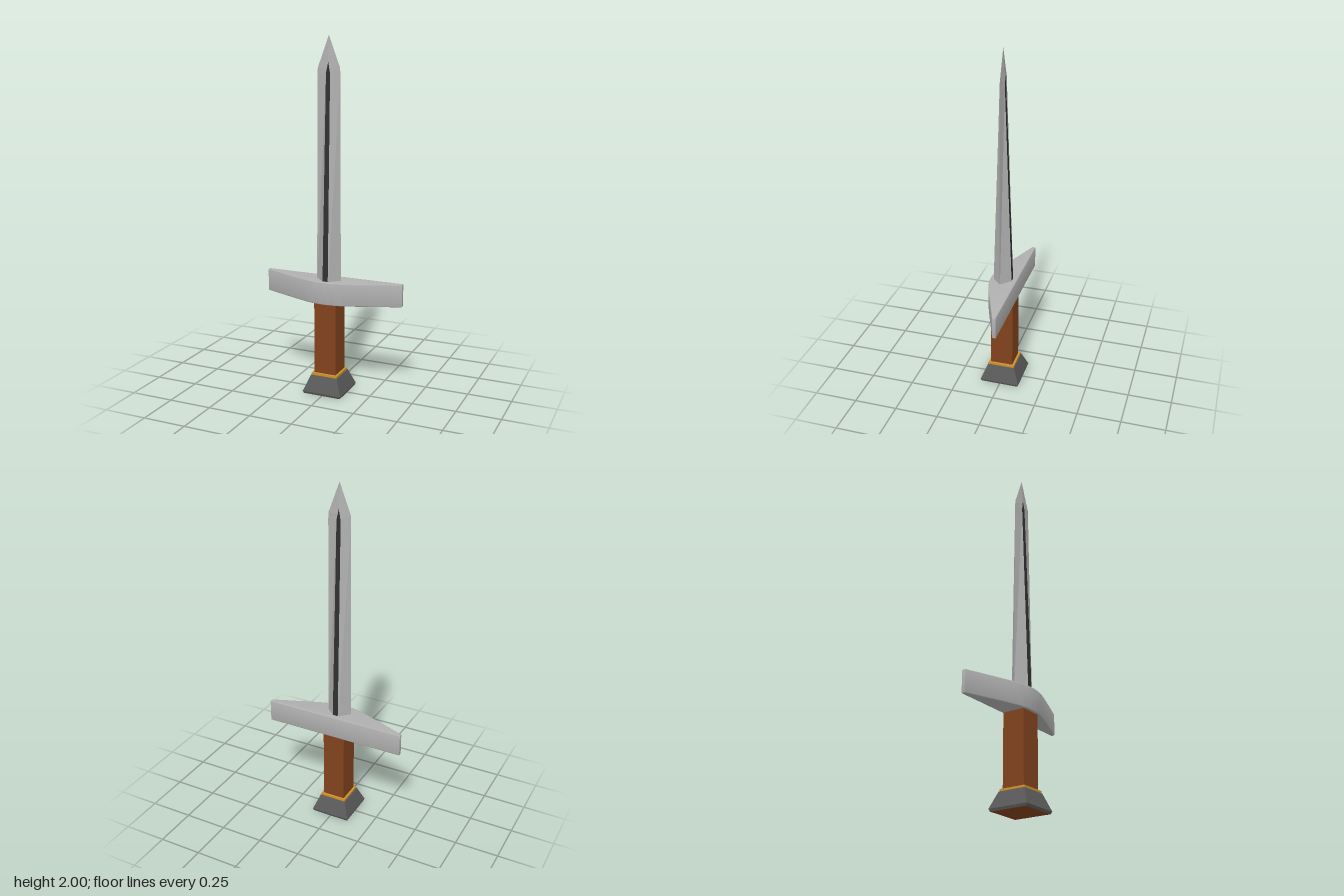
import * as THREE from 'three';
import { toCreasedNormals } from 'three/addons/utils/BufferGeometryUtils.js';

const material = (color, flatShading = true) => new THREE.MeshStandardMaterial({ color, flatShading });
const steel = material(0xb0b0b0);
const guardSteel = material(0xb0b0b0, false);
const darkSteel = material(0x5a5a5a);
const fullerDark = material(0x303030);
const leather = material(0x82431d);
const gold = material(0xd0922a);

function add(parent, name, geometry, mat) {
  const mesh = new THREE.Mesh(geometry, mat);
  mesh.name = name;
  parent.add(mesh);
}

// Square frustum between two heights, given half widths
function frustum(y0, y1, half0, half1) {
  const g = new THREE.CylinderGeometry(half1 * Math.SQRT2, half0 * Math.SQRT2, y1 - y0, 4, 1);
  return g.rotateY(Math.PI / 4).translate(0, (y0 + y1) / 2, 0);
}

// Skin chosen sides of a stack of six-cornered sections
function skin(sections, sides) {
  const pos = [];
  for (let i = 0; i < sections.length - 1; i++) {
    const a = sections[i], b = sections[i + 1];
    for (const k of sides) {
      const n = (k + 1) % 6;
      pos.push(...a[k], ...b[n], ...b[k], ...a[k], ...a[n], ...b[n]);
    }
  }
  const g = new THREE.BufferGeometry();
  g.setAttribute('position', new THREE.Float32BufferAttribute(pos, 3));
  g.computeVertexNormals();
  return g;
}

export function createModel() {
  const sword = new THREE.Group();
  sword.name = 'sword';

  // Blade: flattened hexagon, tapering in thickness up to the point
  const blade = new THREE.Group();
  blade.name = 'blade';
  blade.position.z = 0.008;
  sword.add(blade);
  // height, half width, half thickness, half fuller width
  const levels = [
    [0.6, 0.073, 0.055, 0.016],
    [1.8, 0.066, 0.012, 0.012],
    [1.83, 0.065, 0.011, 0.006],
    [1.86, 0.053, 0.009, 0],
    [2.0, 0, 0, 0],
  ];
  const sections = levels.map(([y, w, d, s]) => [
    [w, y, 0], [s, y, -d], [-s, y, -d], [-w, y, 0], [-s, y, d], [s, y, d],
  ]);
  add(blade, 'bladeFaces', skin(sections, [0, 2, 3, 5]), steel);
  add(blade, 'fuller', skin(sections.slice(0, 4), [1, 4]), fullerDark);

  // Crossguard: straight back, bowed front, narrow ends
  const bevel = 0.005;
  const outline = new THREE.Shape();
  outline.moveTo(-0.407, 0.067);
  outline.lineTo(-0.407, 0.055);
  outline.lineTo(-0.22, -0.018);
  outline.bezierCurveTo(-0.12, -0.056, -0.07, -0.076, 0, -0.076);
  outline.bezierCurveTo(0.07, -0.076, 0.12, -0.056, 0.22, -0.018);
  outline.lineTo(0.407, 0.055);
  outline.lineTo(0.407, 0.067);
  const guard = new THREE.ExtrudeGeometry(outline, {
    depth: 0.13 - 2 * bevel, bevelEnabled: true, bevelSize: bevel,
    bevelThickness: bevel, bevelSegments: 3, curveSegments: 10,
  });
  guard.rotateX(-Math.PI / 2).translate(0, 0.53 + bevel, 0);
  add(sword, 'crossguard', toCreasedNormals(guard, 0.6), guardSteel);

  // Square grip and its collar
  add(sword, 'grip', frustum(0.1, 0.54, 0.065, 0.065), leather);
  add(sword, 'collar', frustum(0.1, 0.118, 0.077, 0.077), gold);

  // Pommel: flared square block with a softened foot
  add(sword, 'pommelBody', frustum(0.014, 0.105, 0.116, 0.08), darkSteel);
  add(sword, 'pommelFoot', frustum(0.001, 0.014, 0.111, 0.116), darkSteel);
  add(sword, 'pommelBase', frustum(0, 0.002, 0.109, 0.109), leather);

  return sword;
}
